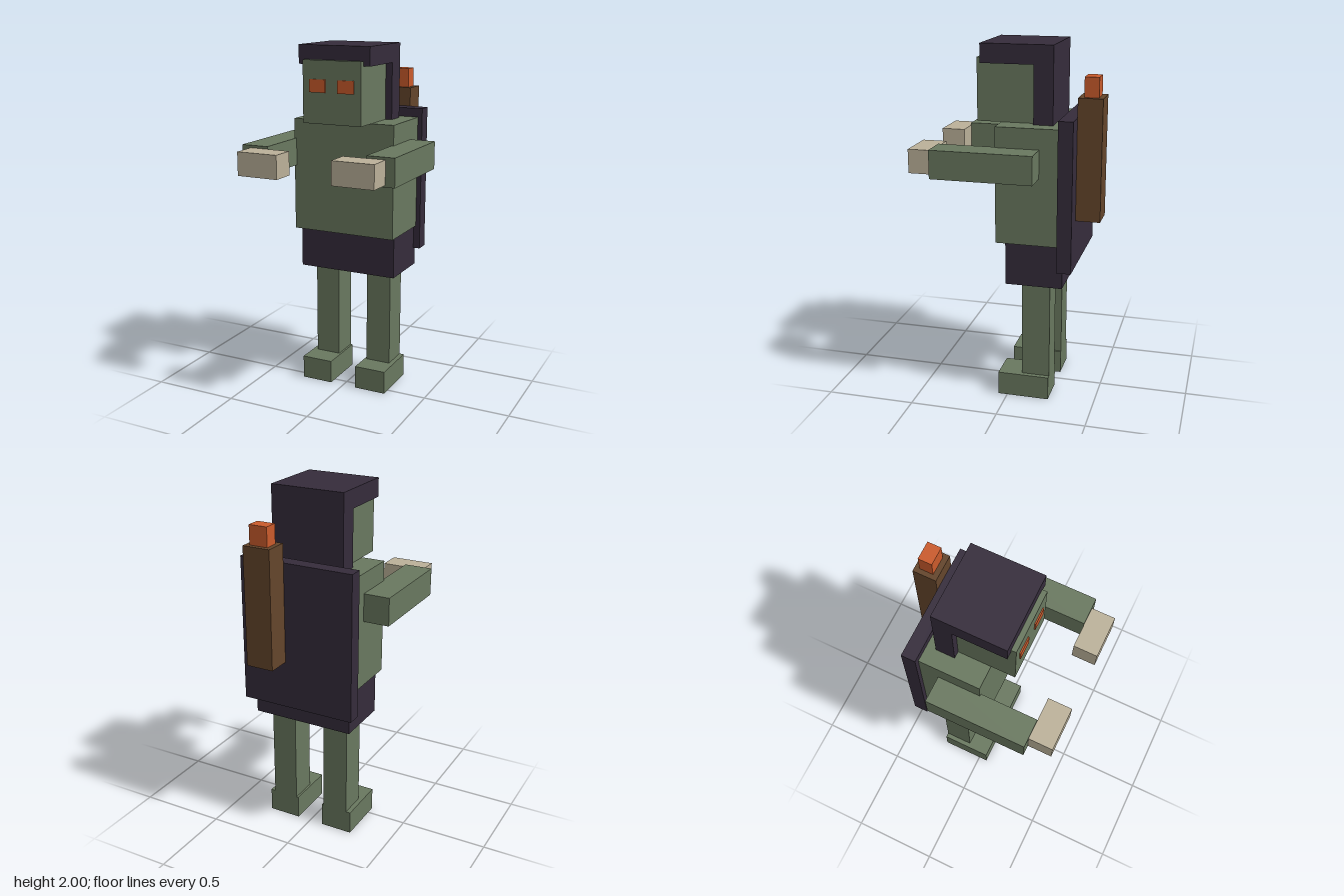
import * as THREE from 'three';

const material = (name, color) => {
  const m = new THREE.MeshStandardMaterial({ color });
  m.name = name;
  return m;
};

export function createModel() {
  const model = new THREE.Group();
  model.name = 'hoodedFigure';

  const green = material('mossGreen', 0x69785f);
  const dark = material('darkPurple', 0x352c3b);
  const tan = material('paleTan', 0xbbb199);
  const brown = material('woodBrown', 0x64452b);
  const orange = material('emberOrange', 0xca5b2c);

  // Box spanning the given [min, max] ranges
  const box = (name, mat, [x0, x1], [y0, y1], [z0, z1]) => {
    const mesh = new THREE.Mesh(new THREE.BoxGeometry(x1 - x0, y1 - y0, z1 - z0), mat);
    mesh.position.set((x0 + x1) / 2, (y0 + y1) / 2, (z0 + z1) / 2);
    mesh.name = name;
    model.add(mesh);
  };
  // The same box on the left (+x) and right (-x)
  const pair = (name, mat, [x0, x1], y, z) => {
    box('left' + name, mat, [x0, x1], y, z);
    box('right' + name, mat, [-x1, -x0], y, z);
  };

  // Body
  box('torso', green, [-0.307, 0.307], [0.938, 1.58], [-0.295, 0.052]);
  box('skirt', dark, [-0.294, 0.294], [0.698, 0.938], [-0.318, 0]);
  box('cape', dark, [-0.333, 0.333], [0.802, 1.63], [-0.373, -0.293]);

  // Head and hood
  box('head', green, [-0.174, 0.174], [1.58, 1.922], [-0.134, 0.186]);
  box('hoodTop', dark, [-0.213, 0.213], [1.896, 2], [-0.241, 0.158]);
  box('hoodBack', dark, [-0.213, 0.213], [1.58, 1.896], [-0.241, -0.134]);
  pair('Eye', orange, [0.037, 0.133], [1.75, 1.82], [0.185, 0.193]);

  // Arms reaching forward
  pair('Arm', green, [0.294, 0.453], [1.312, 1.468], [-0.188, 0.371]);
  pair('Hand', tan, [0.16, 0.4], [1.323, 1.454], [0.371, 0.505]);

  // Legs
  pair('Leg', green, [0.092, 0.24], [0.135, 0.698], [-0.24, -0.08]);
  pair('Foot', green, [0.08, 0.267], [0, 0.135], [-0.24, 0.052]);

  // Torch carried on the back
  box('torchHandle', brown, [0.067, 0.225], [1.07, 1.735], [-0.506, -0.373]);
  box('torchFlame', orange, [0.094, 0.2], [1.735, 1.842], [-0.48, -0.402]);

  return model;
}
